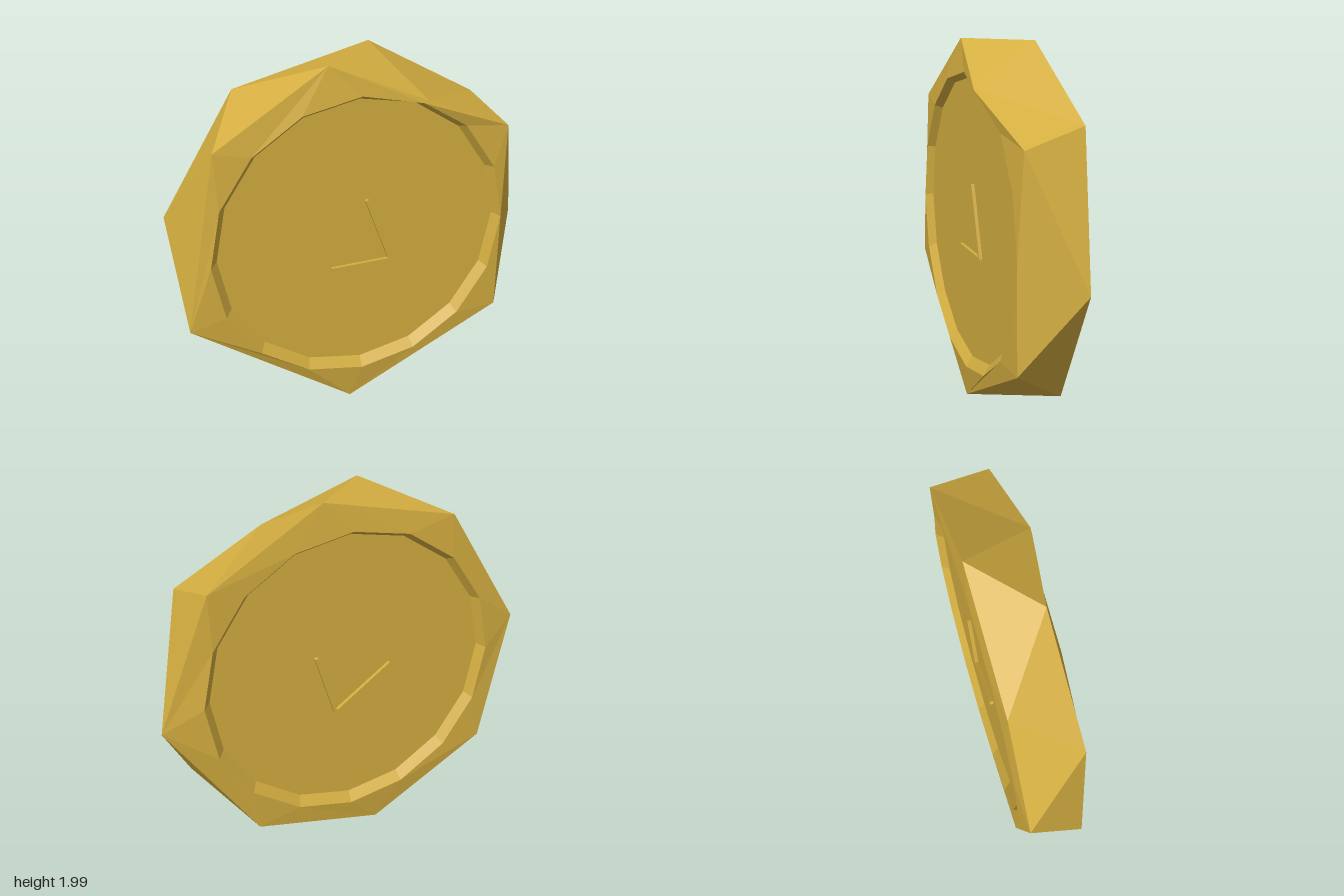
import * as THREE from 'three';

const gold = new THREE.MeshStandardMaterial({ color: 0xd4ae40, flatShading: true, side: THREE.DoubleSide });
const V = (x, y, z) => new THREE.Vector3(x, y, z);

// Rough outer corners, counter-clockwise as seen from the front
const frontCorners = [
  V(0.79, 0.45, 0.15), V(0.81, 1.55, 0.13), V(0.31, 1.785, 0.2), V(-0.19, 2, 0.12),
  V(-0.79, 1.64, 0.14), V(-0.97, 0.65, 0.13), V(-0.09, 0.01, 0.13),
];
const backCorners = [
  V(0.52, 0.2, -0.19), V(1, 0.89, -0.13), V(0.74, 1.64, -0.2), V(0.13, 2, -0.18),
  V(-0.6, 1.83, -0.18), V(-1, 1.18, -0.18), V(-0.83, 0.45, -0.2), V(-0.19, 0.05, -0.18),
];

// 16-sided loop around the dial
function dialLoop(r, cy, z) {
  return Array.from({ length: 16 }, (_, i) => {
    const a = (i * Math.PI) / 8;
    return V(-0.025 + r * Math.cos(a), cy + r * Math.sin(a), z);
  });
}

function meshFrom(name, triangles) {
  const geometry = new THREE.BufferGeometry().setFromPoints(triangles.flat());
  geometry.computeVertexNormals();
  const mesh = new THREE.Mesh(geometry, gold);
  mesh.name = name;
  return mesh;
}

const flip = (triangles) => triangles.map(([a, b, c]) => [a, c, b]);

// Flat-ish area between an outline and an optional hole
function fill(outer, hole) {
  const points = hole ? [...outer, ...hole] : outer;
  const flat = (list) => list.map((p) => new THREE.Vector2(p.x, p.y));
  return THREE.ShapeUtils.triangulateShape(flat(outer), hole ? [flat(hole)] : [])
    .map((t) => t.map((i) => points[i]));
}

// Joins two loops of different counts by advancing the one with the smaller next angle
function stitch(front, back) {
  const angle = (list, i) => {
    const p = list[i % list.length];
    const a = Math.atan2(p.y - 1, p.x);
    return a + 2 * Math.PI * Math.floor(i / list.length);
  };
  const triangles = [];
  let i = 0, j = 0;
  while (i < front.length || j < back.length) {
    const f = front[i % front.length], b = back[j % back.length];
    const stepFront = j >= back.length ||
      (i < front.length && unwrap(angle(front, i + 1), i + 1, front) < unwrap(angle(back, j + 1), j + 1, back));
    if (stepFront) triangles.push([f, b, front[++i % front.length]]);
    else triangles.push([f, b, back[++j % back.length]]);
  }
  return triangles;
}

// Keeps angles rising past the half turn
function unwrap(a, i, list) {
  const p = list[i % list.length];
  return p.y < 1 && i % list.length > list.length / 2 ? a + 2 * Math.PI : a;
}

// Bar lying on the dial between two points
function hand(name, [x0, y0], [x1, y1], z) {
  const bar = new THREE.Mesh(new THREE.BoxGeometry(Math.hypot(x1 - x0, y1 - y0), 0.018, 0.03), gold);
  bar.position.set((x0 + x1) / 2, (y0 + y1) / 2, z);
  bar.rotation.z = Math.atan2(y1 - y0, x1 - x0);
  bar.name = name;
  return bar;
}

export function createModel() {
  const group = new THREE.Group();
  group.name = 'twoSidedClock';

  // Faceted outer band
  group.add(meshFrom('caseBand', stitch(frontCorners, backCorners)));

  // Bezel, recess wall and dial on each side
  const sides = [
    { name: 'front', corners: frontCorners, rimZ: 0.155, floorZ: 0.115 },
    { name: 'back', corners: backCorners, rimZ: -0.2, floorZ: -0.16 },
  ];
  for (const { name, corners, rimZ, floorZ } of sides) {
    const rim = dialLoop(0.815, 1.02, rimZ);
    if (name === 'front') rim[3].z = 0.2; // raised corner of the bezel
    const floor = dialLoop(0.775, 1.035, floorZ);
    const wall = rim.flatMap((p, i) => {
      const k = (i + 1) % 16;
      return [[p, rim[k], floor[i]], [rim[k], floor[k], floor[i]]];
    });
    const turn = name === 'front' ? (t) => t : flip;
    group.add(
      meshFrom(name + 'Bezel', turn(fill(corners, rim))),
      meshFrom(name + 'RecessWall', turn(wall)),
      meshFrom(name + 'Dial', turn(fill(floor))),
    );
  }

  // Clock hands
  group.add(
    hand('frontLongHand', [0.145, 0.865], [0.01, 1.245], 0.118),
    hand('frontShortHand', [0.15, 0.865], [-0.19, 0.865], 0.118),
    hand('backLongHand', [0.06, 0.81], [0.17, 1.16], -0.165),
    hand('backShortHand', [0.06, 0.81], [-0.26, 1.04], -0.165),
  );
  return group;
}
